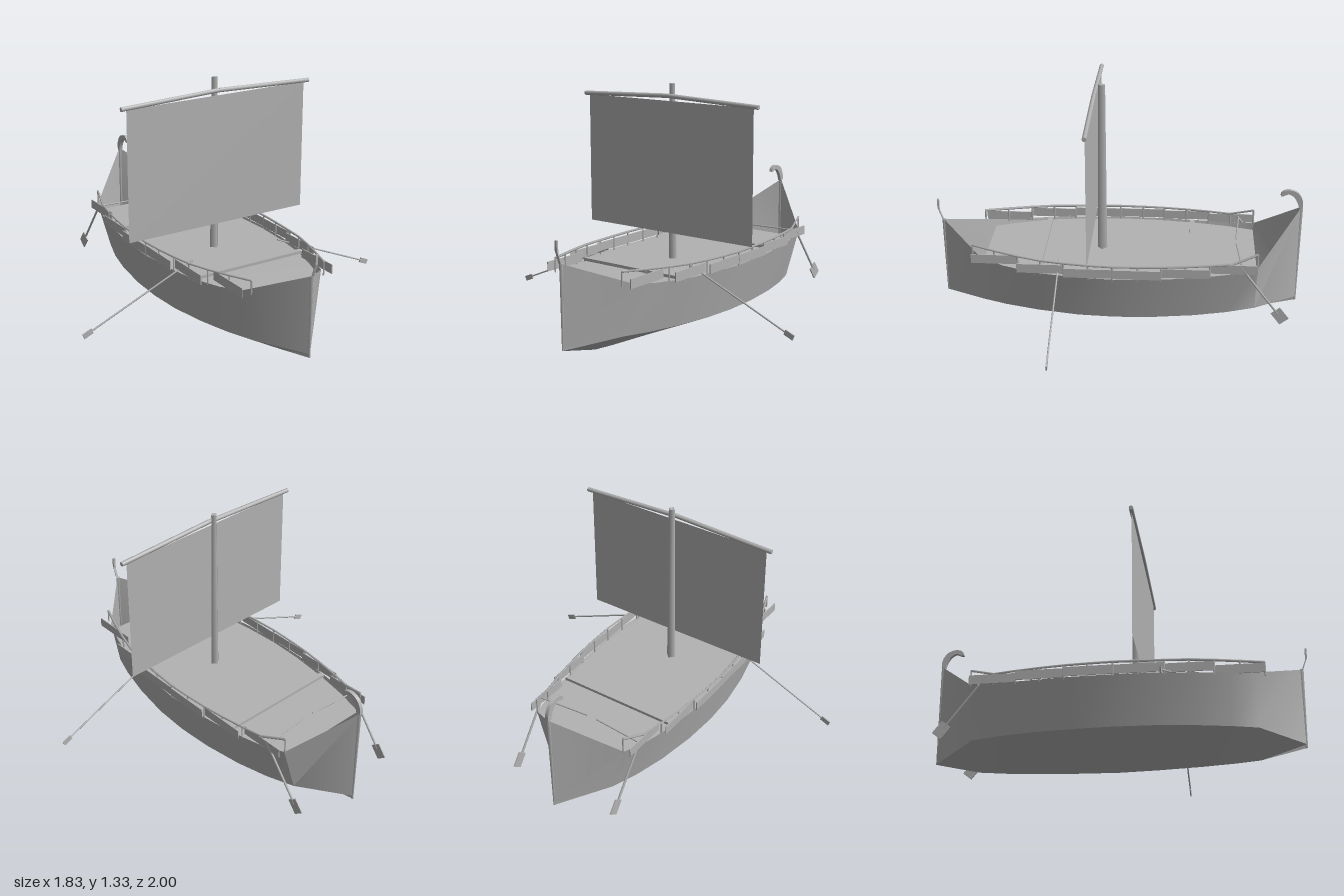
import * as THREE from 'three';
import { toCreasedNormals } from 'three/addons/utils/BufferGeometryUtils.js';

const grey = new THREE.MeshStandardMaterial({ color: 0xb2b2b2, side: THREE.DoubleSide });
grey.name = 'weathered grey';

// Hull stations: z, keel y, chine x, chine y, sheer x, sheer y
const stations = [
  [-0.99, 0.09, 0.0, 0.11, 0.0, 0.66],
  [-0.75, 0.035, 0.2, 0.14, 0.28, 0.42],
  [-0.6, 0.022, 0.25, 0.137, 0.322, 0.403],
  [-0.42, 0.012, 0.29, 0.134, 0.355, 0.394],
  [-0.2, 0.004, 0.317, 0.131, 0.38, 0.39],
  [0.0, 0.0, 0.325, 0.13, 0.387, 0.388],
  [0.2, 0.004, 0.315, 0.131, 0.376, 0.39],
  [0.42, 0.012, 0.28, 0.134, 0.346, 0.394],
  [0.6, 0.022, 0.235, 0.137, 0.292, 0.403],
  [0.73, 0.033, 0.19, 0.14, 0.24, 0.422],
  [0.97, 0.09, 0.0, 0.11, 0.0, 0.53],
];

// Sheer half-width and height at any z
function sheer(z) {
  let i = 0;
  while (i < stations.length - 2 && stations[i + 1][0] < z) i++;
  const a = stations[i], b = stations[i + 1];
  const t = (z - a[0]) / (b[0] - a[0]);
  return { x: a[4] + (b[4] - a[4]) * t, y: a[5] + (b[5] - a[5]) * t };
}

function add(parent, name, geometry) {
  const mesh = new THREE.Mesh(geometry, grey);
  mesh.name = name;
  parent.add(mesh);
  return mesh;
}

const v = (x, y, z) => new THREE.Vector3(x, y, z);

// Straight rod between two points
function rod(parent, name, a, b, r0, r1 = r0, sides = 6) {
  const mesh = add(parent, name, new THREE.CylinderGeometry(r1, r0, a.distanceTo(b), sides));
  mesh.position.copy(a).add(b).multiplyScalar(0.5);
  mesh.quaternion.setFromUnitVectors(v(0, 1, 0), b.clone().sub(a).normalize());
  return mesh;
}

// Outline given as [z, y], extruded across x
function sidePlate(parent, name, points, thickness) {
  const shape = new THREE.Shape();
  shape.moveTo(-points[0][0], points[0][1]);
  shape.splineThru(points.slice(1).map(([z, y]) => new THREE.Vector2(-z, y)));
  const geo = new THREE.ExtrudeGeometry(shape, { depth: thickness, bevelEnabled: false, curveSegments: 18 });
  geo.translate(0, 0, -thickness / 2).rotateY(Math.PI / 2);
  return add(parent, name, geo);
}

function hullGeometry() {
  const pos = [], index = [];
  stations.forEach(([z, ky, cx, cy, sx, sy], i) => {
    pos.push(-sx, sy, z, -cx, cy, z, 0, ky, z, cx, cy, z, sx, sy, z);
    if (i === stations.length - 1) return;
    for (let j = 0; j < 4; j++) {
      const a = i * 5 + j, c = a + 5;
      index.push(a, a + 1, c, a + 1, c + 1, c);
    }
  });
  const geo = new THREE.BufferGeometry();
  geo.setAttribute('position', new THREE.Float32BufferAttribute(pos, 3));
  geo.setIndex(index);
  return toCreasedNormals(geo, 0.6);
}

function deckGeometry() {
  const zs = [-0.75, ...stations.slice(2, 9).map((s) => s[0]), 0.72];
  const port = zs.map((z) => new THREE.Vector2(sheer(z).x - 0.012, -z));
  const starboard = port.map((p) => new THREE.Vector2(-p.x, p.y)).reverse();
  return new THREE.ShapeGeometry(new THREE.Shape([...port, ...starboard])).rotateX(-Math.PI / 2);
}

export function createModel() {
  const boat = new THREE.Group();
  boat.name = 'sailing boat';

  // Hull and deck
  add(boat, 'hull', hullGeometry());
  add(boat, 'deck', deckGeometry()).position.y = 0.383;
  for (const z of [-0.405, 0.415]) {
    const beam = add(boat, 'deckBeam', new THREE.BoxGeometry(sheer(z).x * 2 - 0.01, 0.02, 0.028));
    beam.position.set(0, 0.389, z);
  }

  // Stem, stern post, bow spike and stern curl
  rod(boat, 'stem', v(0, 0.09, 0.966), v(0, 0.53, 0.966), 0.006, 0.012, 4);
  rod(boat, 'sternPost', v(0, 0.09, -0.984), v(0, 0.66, -0.984), 0.006, 0.012, 4);
  const spike = new THREE.Shape([
    [-0.97, 0.53], [-0.99, 0.585], [-0.99, 0.65], [-1.0, 0.65], [-1.0, 0.6], [-0.975, 0.53],
  ].map(([x, y]) => new THREE.Vector2(x, y)));
  const spikeGeo = new THREE.ExtrudeGeometry(spike, { depth: 0.014, bevelEnabled: false });
  add(boat, 'bowSpike', spikeGeo.translate(0, 0, -0.007).rotateY(Math.PI / 2));
  sidePlate(boat, 'sternCurl', [
    [-0.995, 0.66], [-0.99, 0.7], [-0.965, 0.74], [-0.92, 0.757], [-0.885, 0.748], [-0.872, 0.725],
    [-0.885, 0.722], [-0.915, 0.733], [-0.945, 0.715], [-0.965, 0.68], [-0.972, 0.655],
  ], 0.02);

  // Mast, yard and sail
  rod(boat, 'mast', v(0, 0.383, 0.09), v(0, 1.33, 0.09), 0.026, 0.0185, 4);
  for (const s of [-1, 1]) {
    rod(boat, 'yard', v(0, 1.267, 0.132), v(s * 0.575, 1.246, 0.132), 0.012, 0.012, 8);
  }
  add(boat, 'sail', new THREE.PlaneGeometry(1.09, 0.71)).position.set(0, 0.885, 0.132);

  // Railings, side planks and oars on both sides
  const posts = [0.775, 0.52, 0.27, 0.012, -0.242, -0.498, -0.75];
  const railY = (z) => 0.46 + (z > 0 ? 0.025 * (z / 0.775) ** 2 : 0) + Math.max(0, (-z - 0.62) / 0.13) * 0.042;
  for (const s of [-1, 1]) {
    const side = new THREE.Group();
    side.name = s > 0 ? 'leftSide' : 'rightSide';
    boat.add(side);
    const edge = (z) => Math.max(sheer(z).x, 0.225) - 0.004;
    const railPoint = (z) => v(s * edge(z), railY(z), z);
    const railZ = [0.775, 0.65, 0.52, 0.395, 0.27, 0.14, 0.012, -0.12, -0.242, -0.37, -0.498, -0.62, -0.75];
    railZ.forEach((z, i) => {
      const base = Math.min(sheer(z).y, 0.42) - 0.01;
      rod(side, 'railPost', v(s * edge(z), base, z), railPoint(z), 0.005, 0.005, 4);
      if (i > 0) rod(side, 'topRail', railPoint(railZ[i - 1]), railPoint(z), 0.007, 0.007, 4);
    });
    for (let i = 1; i < posts.length; i++) {
      const z = (posts[i - 1] + posts[i]) / 2;
      const plank = add(side, 'sidePlank', new THREE.BoxGeometry(0.005, 0.05, posts[i - 1] - posts[i]));
      plank.position.set(s * (sheer(z).x + 0.002), 0.417 + 0.035 * z * z, z);
    }

    // Rowing oar
    rod(side, 'oarShaft', v(s * 0.27, 0.435, 0.303), v(s * 0.87, 0.18, 0.303), 0.0045);
    const oarBlade = add(side, 'oarBlade', new THREE.BoxGeometry(0.055, 0.028, 0.007));
    oarBlade.position.set(s * 0.882, 0.174, 0.303);
    oarBlade.rotation.z = -s * 0.4;

    // Steering oar with tiller
    rod(side, 'steeringShaft', v(s * 0.315, 0.445, -0.66), v(s * 0.315, 0.17, -0.868), 0.006);
    const blade = add(side, 'steeringBlade', new THREE.BoxGeometry(0.007, 0.08, 0.06));
    blade.position.set(s * 0.315, 0.16, -0.878);
    blade.rotation.x = 0.66;
    rod(side, 'tiller', v(s * 0.315, 0.44, -0.668), v(s * 0.03, 0.44, -0.645), 0.004);
  }
  return boat;
}
